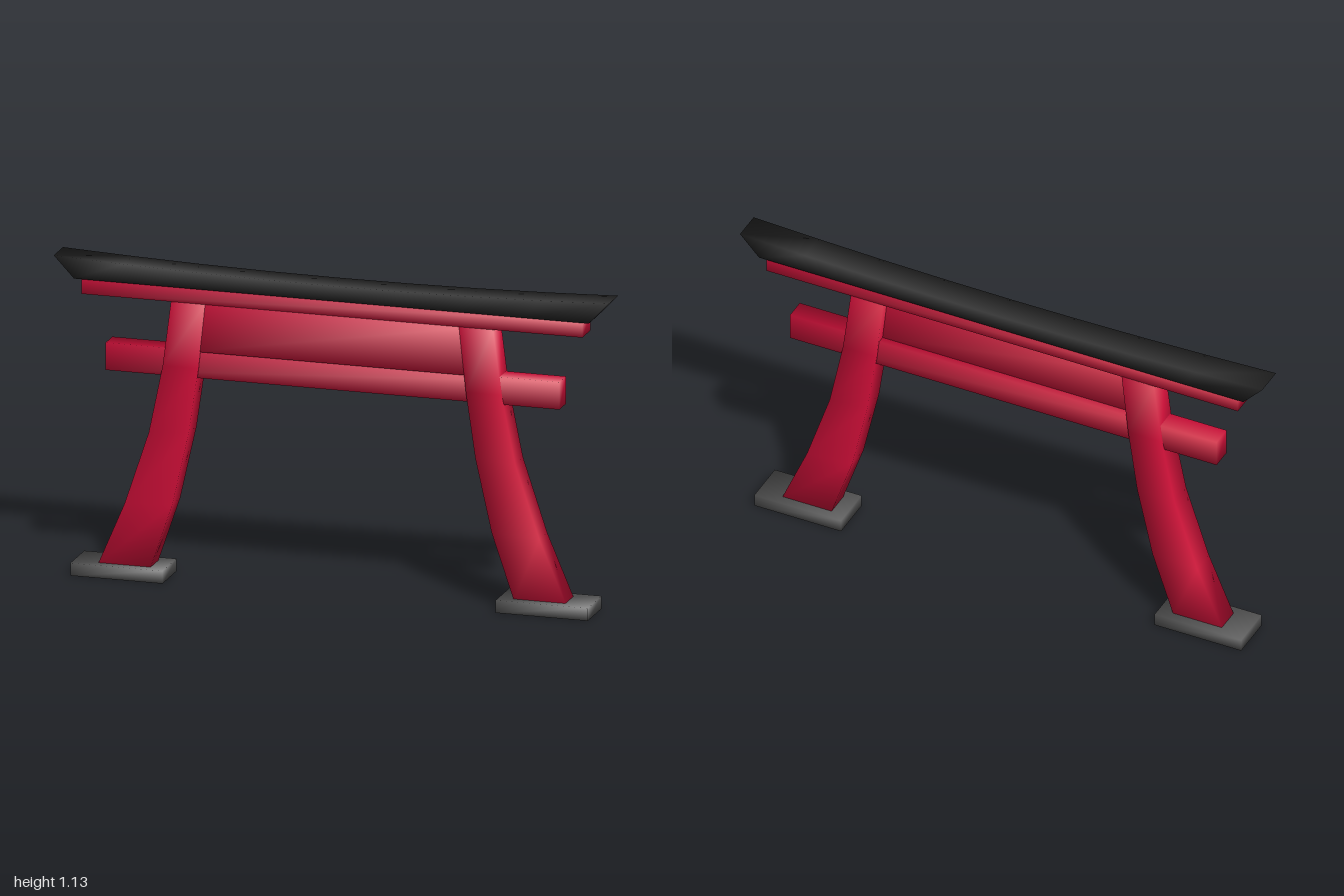
import * as THREE from 'three';
import { toCreasedNormals } from 'three/addons/utils/BufferGeometryUtils.js';

const mat = (name, color) => new THREE.MeshStandardMaterial({ name, color });

export function createModel() {
  const red = mat('crimson paint', 0xd20f39);
  const black = mat('black lacquer', 0x222222);
  const stone = mat('grey stone', 0x555555);
  const group = new THREE.Group();
  group.name = 'gate';

  // Adds a softly shaded mesh: normals are averaged over every corner
  function add(name, geometry, material) {
    const mesh = new THREE.Mesh(toCreasedNormals(geometry, Math.PI), material);
    mesh.name = name;
    group.add(mesh);
  }

  // Box given by its extents along each axis
  function block([x0, x1], [y0, y1], [z0, z1], segX = 1, segY = 1) {
    return new THREE.BoxGeometry(x1 - x0, y1 - y0, z1 - z0, segX, segY, 1)
      .translate((x0 + x1) / 2, (y0 + y1) / 2, (z0 + z1) / 2);
  }

  // Moves every vertex of a geometry by a rule
  function reshape(geometry, rule) {
    const p = geometry.attributes.position;
    const v = new THREE.Vector3();
    for (let i = 0; i < p.count; i++) {
      rule(v.fromBufferAttribute(p, i));
      p.setXYZ(i, v.x, v.y, v.z);
    }
    return geometry;
  }

  // Curved legs: [inner x, inner y, outer x, outer y] from foot to top
  const rows = [
    [0.655, 0.04, 0.843, 0.04],
    [0.575, 0.275, 0.747, 0.265],
    [0.516, 0.537, 0.66, 0.527],
    [0.482, 0.77, 0.61, 0.77],
    [0.457, 1.003, 0.58, 1.003],
  ];
  for (const side of [1, -1]) {
    const name = side > 0 ? 'left' : 'right';
    const leg = block([-1, 1], [0, 4], [-0.045, 0.046], 1, 4);
    reshape(leg, (v) => {
      const r = rows[Math.round(v.y)];
      const outer = v.x * side > 0;
      v.x = side * (outer ? r[2] : r[0]);
      v.y = outer ? r[3] : r[1];
    });
    add(name + 'Leg', leg, red);

    // Stone footing
    const xs = side > 0 ? [0.6, 0.932] : [-0.932, -0.6];
    add(name + 'Footing', block(xs, [0, 0.045], [-0.08, 0.08]), stone);
  }

  // Cross beams and the panel between them
  add('tieBeam', block([-0.817, 0.817], [0.735, 0.833], [-0.037, 0.04]), red);
  add('panel', block([-0.5, 0.5], [0.83, 1.003], [-0.01, 0.0455]), red);
  add('lintel', block([-0.902, 0.902], [1.002, 1.057], [-0.045, 0.047]), red);

  // Roof beam: flat underside, gently sagging top, slanted ends
  const roof = block([-1, 1], [0, 1], [-0.053, 0.053], 8);
  reshape(roof, (v) => {
    if (v.y > 0.5) {
      v.y = 1.11 + 0.023 * v.x * v.x;
    } else {
      v.x *= 0.927;
      v.y = 1.056;
    }
  });
  add('roofBeam', roof, black);

  return group;
}
